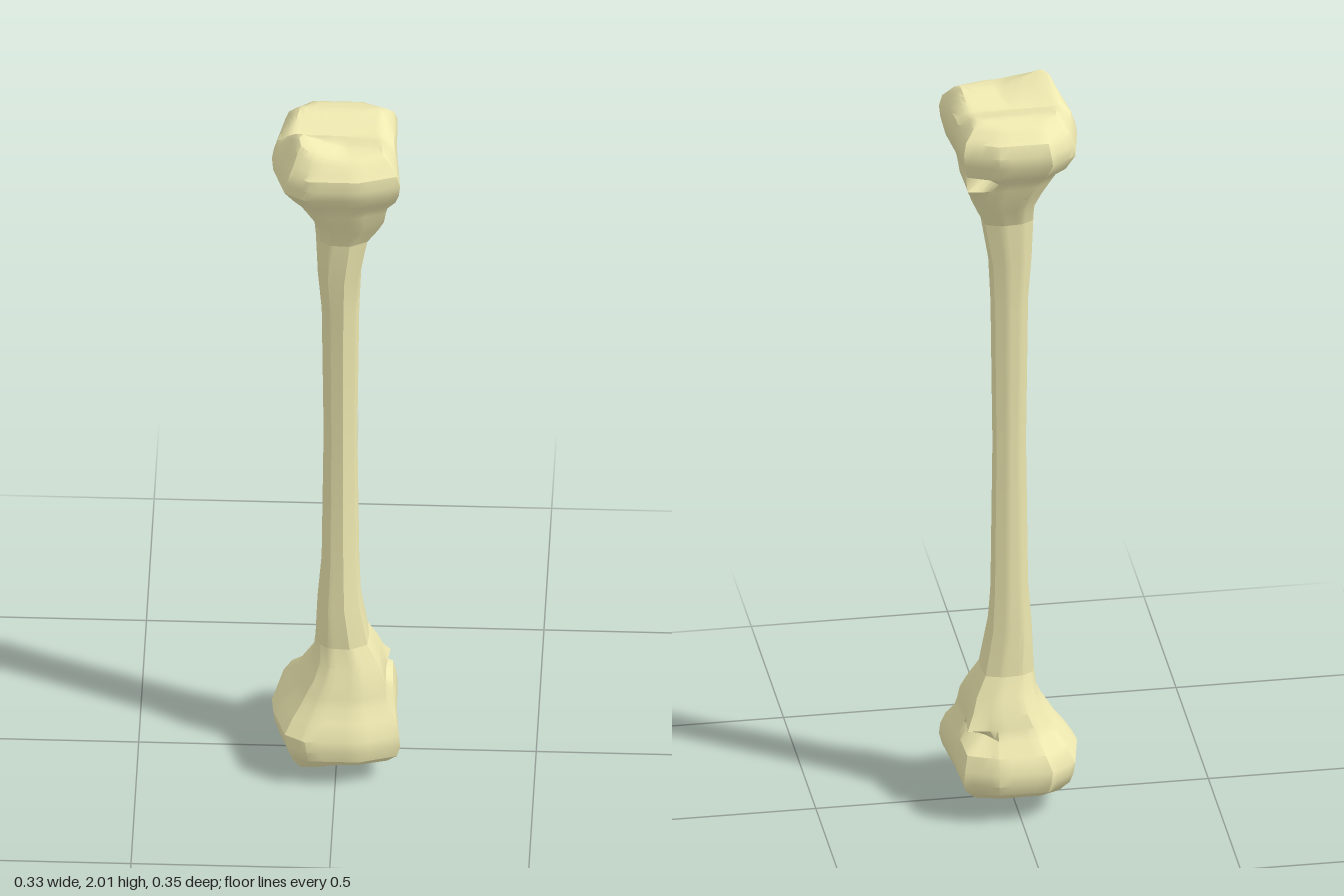
import * as THREE from 'three';
import { toCreasedNormals } from 'three/addons/utils/BufferGeometryUtils.js';

// Matching cross-section outlines (x, z), running from +x towards +z
const SHAFT = [[.05, 0], [.043, .026], [.015, .05], [-.015, .045], [-.03, .03], [-.036, .014],
  [-.037, -.004], [-.032, -.028], [-.015, -.04], [.015, -.045], [.045, -.035]];
const HEAD = [[.15, 0], [.163, .14], [.06, .172], [-.075, .172], [-.127, .142], [-.16, .045],
  [-.165, -.005], [-.14, -.13], [-.075, -.178], [.06, -.178], [.145, -.14]];

// y, xMin, xMax, zMin, zMax, blend from shaft to head outline, push on the back corner
const SHAFT_ROWS = [
  [1, -.035, .05, -.045, .05, 0, 0],
  [1.4, -.04, .055, -.05, .055, 0, 0],
  [1.52, -.05, .06, -.055, .068, .1, 0],
  [1.64, -.055, .08, -.06, .07, .2, 0],
];
const HEAD_ROWS = [
  SHAFT_ROWS[3],
  [1.69, -.06, .105, -.08, .085, .4, 0],
  [1.73, -.078, .12, -.1, .105, .6, 0],
  [1.765, -.1, .125, -.11, .115, .7, .015],
  [1.79, -.115, .13, -.12, .125, .85, -.03],
  [1.82, -.14, .15, -.158, .145, .95, 0],
  [1.86, -.165, .16, -.175, .17, 1, 0],
  [1.89, -.16, .163, -.178, .174, 1, 0],
  [1.92, -.15, .155, -.165, .17, 1, 0],
];
const STEPS = 4; // points per outline edge
const { lerp, clamp, mapLinear } = THREE.MathUtils;

// One closed ring of points: blended outline fitted to the row's extents
function ring([y, x0, x1, z0, z1, blend, push]) {
  const pts = HEAD.map((h, i) => [lerp(SHAFT[i][0], h[0], blend), lerp(SHAFT[i][1], h[1], blend)]);
  const xs = pts.map(p => p[0]), zs = pts.map(p => p[1]);
  const fit = pts.map(([x, z]) => [
    mapLinear(x, Math.min(...xs), Math.max(...xs), x0, x1),
    mapLinear(z, Math.min(...zs), Math.max(...zs), z0, z1)]);
  fit[10][0] += push;
  fit[10][1] -= push;
  const out = [];
  fit.forEach((a, i) => {
    const b = fit[(i + 1) % fit.length];
    for (let s = 0; s < STEPS; s++) {
      out.push(new THREE.Vector3(lerp(a[0], b[0], s / STEPS), y, lerp(a[1], b[1], s / STEPS)));
    }
  });
  return out;
}

// Joint surface: two rounded ridges with a groove between, and a raised peak on one side
function jointHeight(x, z) {
  const keys = [1.94, 1.96, 1.938, 1.965, 1.955];
  const f = clamp((z + .16) / .08, 0, 3.999), i = Math.floor(f);
  const peak = clamp((.02 - x) / .1, 0, 1) * Math.max(0, 1 - Math.abs(z - .08) / .08);
  return lerp(keys[i], keys[i + 1], f - i) + .038 * peak;
}

// Shrinking rings that close the end of the bone
function capRings(rim) {
  return [.92, .84, .76, .68, .59, .5, .4, .25, 0].map(s => rim.map(p => {
    const x = p.x * s, z = p.z * s;
    const rise = clamp((1 - s) / .2, 0, 1);
    return new THREE.Vector3(x, lerp(p.y, jointHeight(x, z), rise), z);
  }));
}

const flip = rings => rings.map(r => r.map(p => new THREE.Vector3(p.x, 2 - p.y, p.z))).reverse();

// Skin a stack of rings, listed from bottom to top
function loft(name, rings, material) {
  const pos = [];
  const tri = (a, b, c) => {
    if (a.distanceTo(b) > 1e-6 && b.distanceTo(c) > 1e-6 && c.distanceTo(a) > 1e-6) {
      for (const p of [a, b, c]) pos.push(p.x, p.y, p.z);
    }
  };
  for (let j = 0; j < rings.length - 1; j++) {
    const lo = rings[j], hi = rings[j + 1];
    lo.forEach((p, i) => {
      const n = (i + 1) % lo.length;
      tri(lo[n], p, hi[i]);
      tri(lo[n], hi[i], hi[n]);
    });
  }
  const geo = new THREE.BufferGeometry();
  geo.setAttribute('position', new THREE.Float32BufferAttribute(pos, 3));
  const mesh = new THREE.Mesh(toCreasedNormals(geo, .55), material);
  mesh.name = name;
  return mesh;
}

export function createModel() {
  const group = new THREE.Group();
  group.name = 'bone';
  const material = new THREE.MeshStandardMaterial({ color: 0xeee8b0 });

  // Shaft, mirrored about mid height
  const upperShaft = SHAFT_ROWS.map(ring);
  group.add(loft('shaft', [...flip(upperShaft).slice(0, -1), ...upperShaft], material));

  // Knobbly joint heads at both ends
  const head = HEAD_ROWS.map(ring);
  head.push(...capRings(head[head.length - 1]));
  group.add(loft('upperHead', head, material));
  group.add(loft('lowerHead', flip(head), material));
  return group;
}
